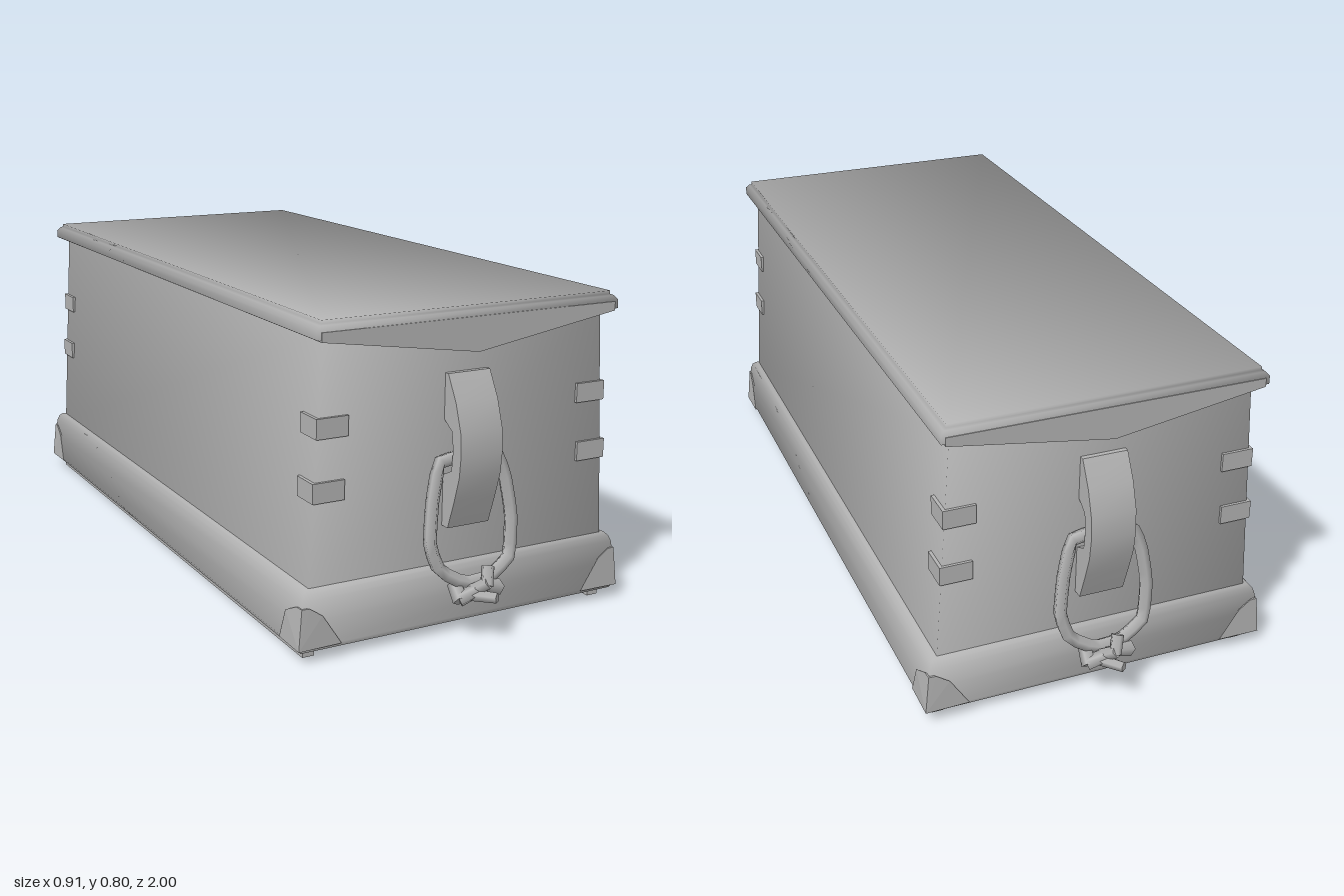
import * as THREE from 'three';
import { toCreasedNormals } from 'three/addons/utils/BufferGeometryUtils.js';
import { ConvexGeometry } from 'three/addons/geometries/ConvexGeometry.js';

const V = (x, y, z) => new THREE.Vector3(x, y, z);

// Rectangular rings [y, halfX, halfZ, normalY] joined into a softly shaded shell, capped if asked
function loft(levels, capped = true) {
  const pos = [], nor = [], idx = [];
  const corners = [[1, 1], [1, -1], [-1, -1], [-1, 1]];
  for (const [y, hx, hz, ny] of levels) {
    for (const [sx, sz] of corners) {
      pos.push(sx * hx, y, sz * hz);
      nor.push(...V(sx, ny, sz).normalize().toArray());
    }
  }
  for (let l = 0; l < levels.length - 1; l++) {
    for (let i = 0; i < 4; i++) {
      const a = l * 4 + i, b = l * 4 + (i + 1) % 4;
      idx.push(a, b, b + 4, a, b + 4, a + 4);
    }
  }
  const t = (levels.length - 1) * 4;
  if (capped) idx.push(t, t + 1, t + 3, t + 1, t + 2, t + 3, 0, 3, 1, 1, 3, 2);
  const g = new THREE.BufferGeometry();
  g.setAttribute('position', new THREE.Float32BufferAttribute(pos, 3));
  g.setAttribute('normal', new THREE.Float32BufferAttribute(nor, 3));
  g.setIndex(idx);
  return g;
}

function extrude(points, depth) {
  const shape = new THREE.Shape(points.map(([x, y]) => new THREE.Vector2(x, y)));
  return new THREE.ExtrudeGeometry(shape, { depth, bevelEnabled: false });
}

// Closed tapered rod from a to b
function rod(a, b, ra, rb) {
  const d = b.clone().sub(a);
  const g = new THREE.CylinderGeometry(rb, ra, d.length(), 5);
  g.applyQuaternion(new THREE.Quaternion().setFromUnitVectors(V(0, 1, 0), d.normalize()));
  const mid = a.clone().lerp(b, 0.5);
  return g.translate(mid.x, mid.y, mid.z);
}

export function createModel() {
  const grey = new THREE.MeshStandardMaterial({ color: 0xb3b3b3 });
  grey.name = 'plain grey';
  const model = new THREE.Group();
  model.name = 'chest';
  const add = (parent, name, geometry) => {
    const m = new THREE.Mesh(geometry, grey);
    m.name = name;
    parent.add(m);
    return m;
  };

  // Tapered box
  add(model, 'body', loft([[0.15, 0.416, 0.86, 0], [0.76, 0.38, 0.86, 0.4]], false));

  // Rounded base moulding with a rolled lower rim
  add(model, 'baseMoulding', loft([
    [0.022, 0.4, 0.835, -3],
    [0.018, 0.425, 0.86, -1.5],
    [0.024, 0.442, 0.876, -0.8],
    [0.037, 0.449, 0.883, -0.2],
    [0.1, 0.447, 0.883, 0.1],
    [0.15, 0.439, 0.878, 0.6],
    [0.164, 0.434, 0.873, 1],
    [0.172, 0.426, 0.866, 2],
  ]));

  // Flat lid with a rolled edge
  add(model, 'lid', loft([
    [0.75, 0.404, 0.884, -1],
    [0.753, 0.41, 0.89, -0.2],
    [0.774, 0.41, 0.89, 0.3],
    [0.784, 0.401, 0.884, 0.8],
    [0.787, 0.394, 0.878, 0.3],
    [0.795, 0.394, 0.878, 1],
  ]));

  // Underside panel and long runners
  const panel = add(model, 'bottomPanel', new THREE.BoxGeometry(0.8, 0.004, 1.67));
  panel.position.y = 0.021;
  for (const s of [-1, 1]) {
    const rail = add(model, 'runner', new THREE.BoxGeometry(0.03, 0.022, 1.7));
    rail.position.set(s * 0.41, 0.011, 0);
  }

  // Corner caps and wrapped corner straps
  for (const sx of [-1, 1]) {
    for (const sz of [-1, 1]) {
      const c = (x, y, z) => V(sx * x, y, sz * z);
      add(model, 'cornerCap', new ConvexGeometry([
        c(0.454, 0.034, 0.888), c(0.444, 0.134, 0.884),
        c(0.342, 0.035, 0.887), c(0.392, 0.112, 0.887), c(0.425, 0.134, 0.885),
        c(0.453, 0.035, 0.787), c(0.451, 0.112, 0.815), c(0.446, 0.134, 0.86),
        c(0.4, 0.035, 0.84),
      ]));
      for (const y of [0.373, 0.522]) {
        const bx = 0.416 - 0.036 * (y + 0.025 - 0.15) / 0.61;
        const ox = bx + 0.007, oz = 0.867;
        // L-shaped outline in plan
        const plan = [[ox - 0.082, oz], [ox - 0.082, 0.853], [bx - 0.006, 0.853],
          [bx - 0.006, 0.79], [ox, 0.79], [ox, oz]].map(([x, z]) => [sx * x, -sz * z]);
        const g = extrude(plan, 0.048);
        g.rotateX(-Math.PI / 2);
        g.translate(0, y, 0);
        add(model, 'cornerStrap', g);
      }
    }
  }

  // End fittings: pointed apron, arched handle loop, rope ring and knot
  for (const turn of [0, Math.PI]) {
    const end = new THREE.Group();
    end.name = turn ? 'backFittings' : 'frontFittings';
    end.rotation.y = turn;
    model.add(end);

    const apron = extrude([[-0.4, 0.77], [-0.4, 0.748], [0.012, 0.686], [0.4, 0.748], [0.4, 0.77]], 0.035);
    apron.translate(0, 0, 0.857);
    add(end, 'apron', apron);

    // Handle outline in (z, y) with an opening for the rope, swept across x
    const arch = extrude([
      [0.855, 0.267], [0.885, 0.267], [0.91, 0.34], [0.928, 0.4], [0.933, 0.45], [0.929, 0.51],
      [0.907, 0.575], [0.872, 0.638], [0.855, 0.638], [0.855, 0.53], [0.893, 0.505],
      [0.9, 0.46], [0.895, 0.41], [0.855, 0.39],
    ], 0.115);
    arch.rotateY(-Math.PI / 2);
    arch.translate(0.056, 0, 0);
    add(end, 'handleLoop', toCreasedNormals(arch, 0.7));

    const ring = new THREE.CatmullRomCurve3([
      V(-0.05, 0.437, 0.88), V(-0.085, 0.43, 0.883), V(-0.107, 0.34, 0.892), V(-0.118, 0.24, 0.903),
      V(-0.095, 0.175, 0.91), V(-0.03, 0.137, 0.918), V(0.04, 0.142, 0.918), V(0.1, 0.18, 0.91),
      V(0.11, 0.28, 0.899), V(0.095, 0.38, 0.888), V(0.07, 0.437, 0.883), V(0.04, 0.442, 0.88),
    ], true, 'catmullrom', 0.2);
    add(end, 'ropeRing', new THREE.TubeGeometry(ring, 28, 0.017, 5, true));

    // Knot: a side bight, a crossing strand and two flared rope tails
    for (const [a, b, ra, rb] of [
      [V(-0.05, 0.135, 0.905), V(-0.052, 0.103, 0.94), 0.017, 0.02],
      [V(-0.055, 0.105, 0.935), V(0.005, 0.135, 0.955), 0.02, 0.016],
      [V(-0.01, 0.14, 0.95), V(0.062, 0.112, 0.925), 0.012, 0.02],
      [V(-0.025, 0.115, 0.93), V(0.003, 0.15, 0.972), 0.016, 0.016],
      [V(0, 0.14, 0.968), V(0.014, 0.182, 0.95), 0.016, 0.016],
      [V(-0.03, 0.115, 0.94), V(0.012, 0.118, 0.995), 0.015, 0.013],
    ]) add(end, 'knotStrand', rod(a, b, ra, rb));
  }
  return model;
}
